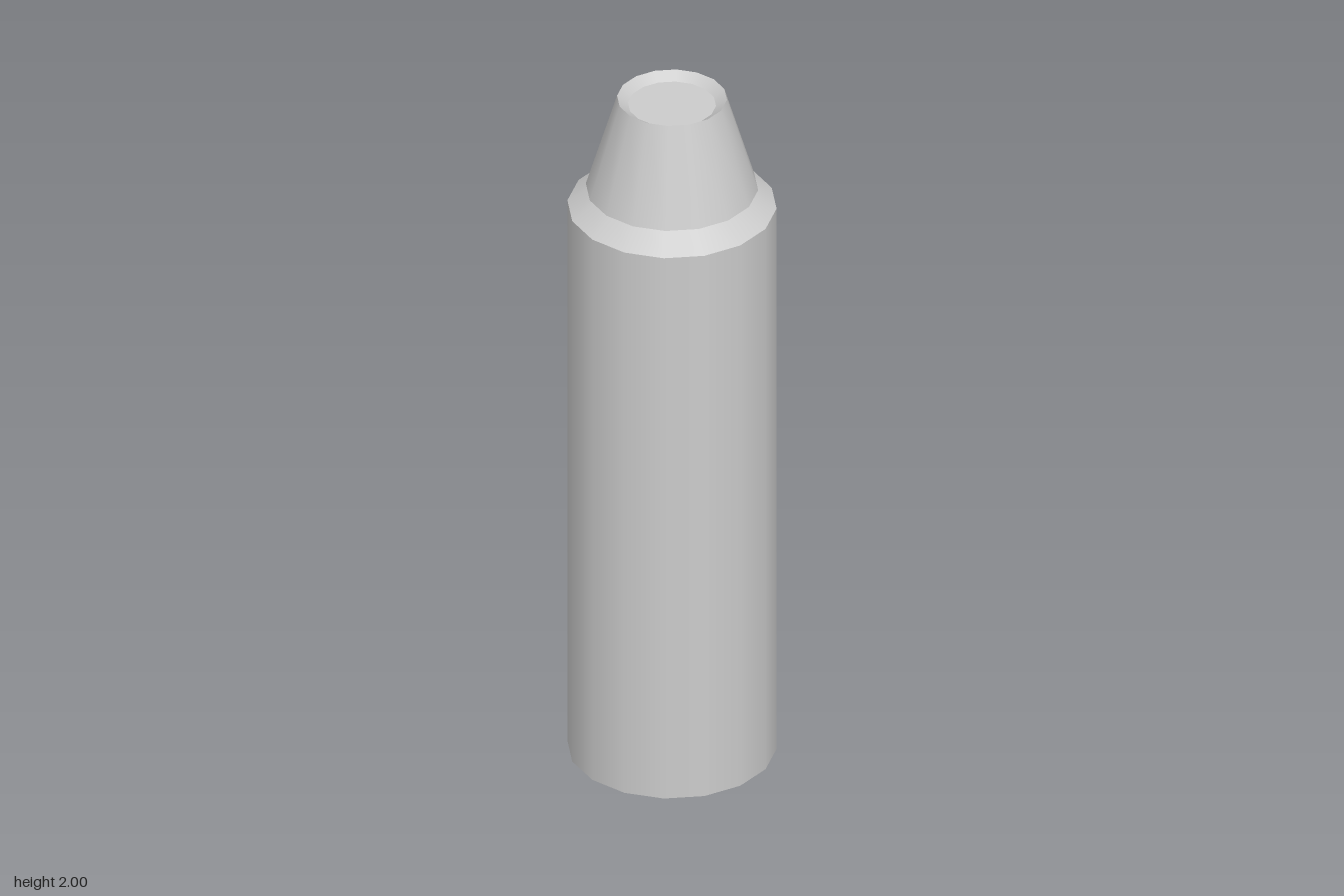
import * as THREE from 'three';

const SIDES = 16;

// One lathe band per profile segment: smooth around, sharp between bands
function addBands(group, names, profile, material) {
  names.forEach((name, i) => {
    const points = [profile[i], profile[i + 1]].map(([r, y]) => new THREE.Vector2(r, y));
    const mesh = new THREE.Mesh(new THREE.LatheGeometry(points, SIDES), material);
    mesh.name = name;
    group.add(mesh);
  });
}

export function createModel() {
  const model = new THREE.Group();
  model.name = 'cartridge';
  const material = new THREE.MeshStandardMaterial({ color: 0xcccccc });

  // Main cylinder with slightly dished base and sloping shoulder
  const body = new THREE.Group();
  body.name = 'body';
  addBands(body, ['base', 'barrel', 'shoulder'],
    [[0, 0.02], [0.278, 0], [0.278, 1.67], [0.2, 1.725]], material);

  // Tapered nozzle overhanging the shoulder, with a shallow recess on top
  const nozzle = new THREE.Group();
  nozzle.name = 'nozzle';
  addBands(nozzle, ['nozzleUnderside', 'nozzleWall', 'recessRim', 'recessFloor'],
    [[0.2, 1.725], [0.229, 1.725], [0.146, 2], [0.117, 1.98], [0, 1.98]], material);

  model.add(body, nozzle);
  return model;
}
